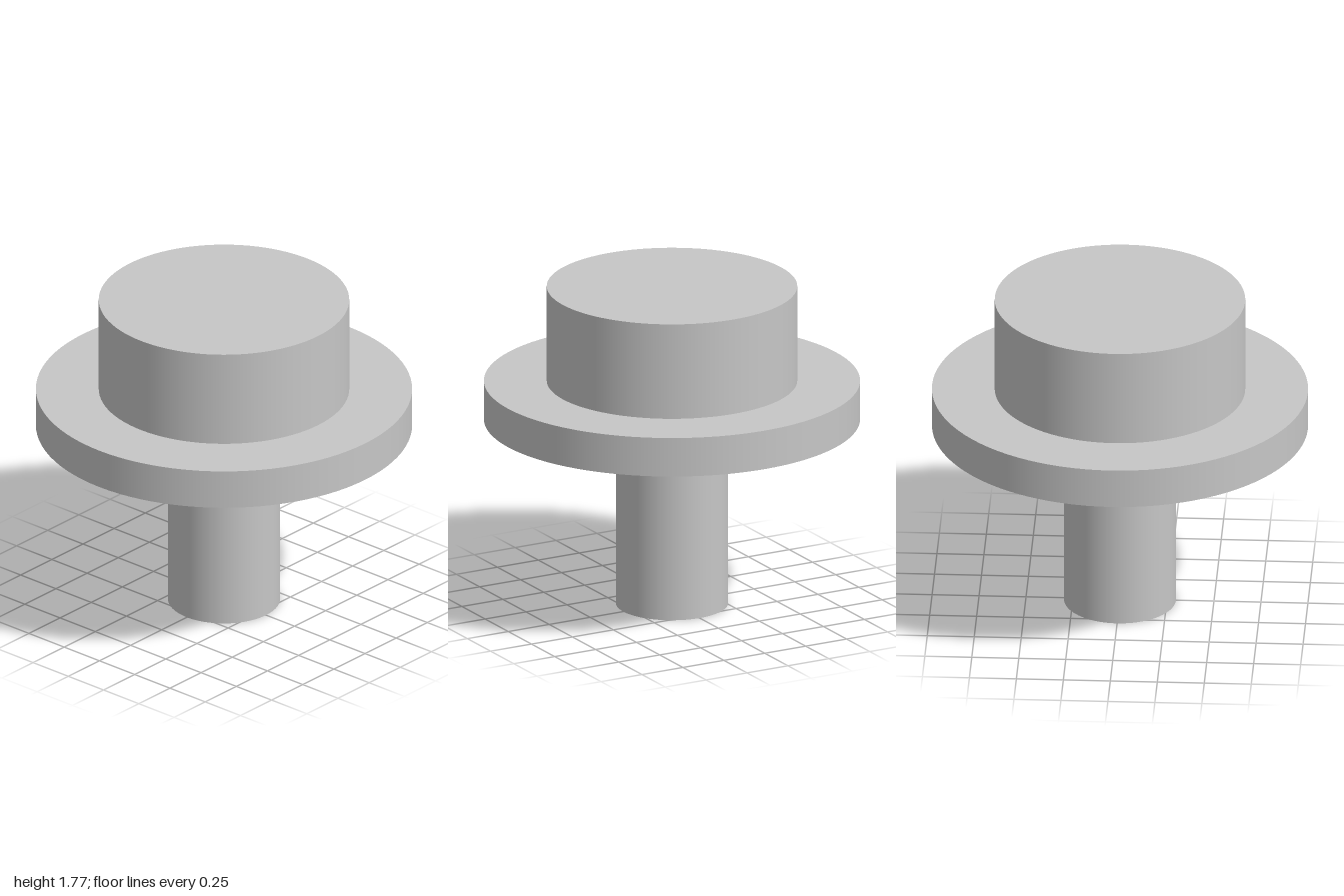
import * as THREE from 'three';

export function createModel() {
  const model = new THREE.Group();
  model.name = 'flangedPin';
  const grey = new THREE.MeshStandardMaterial({ color: 0xc6c6c6 });
  grey.name = 'light grey';

  // Upright solid cylinder between two heights
  const addCylinder = (name, radius, bottom, top) => {
    const geometry = new THREE.CylinderGeometry(radius, radius, top - bottom, 96);
    const mesh = new THREE.Mesh(geometry, grey);
    mesh.name = name;
    mesh.position.y = (bottom + top) / 2;
    model.add(mesh);
  };

  addCylinder('stem', 0.298, 0, 1.028);
  addCylinder('flange', 1, 1.028, 1.243);
  addCylinder('head', 0.666, 1.243, 1.77);

  return model;
}
